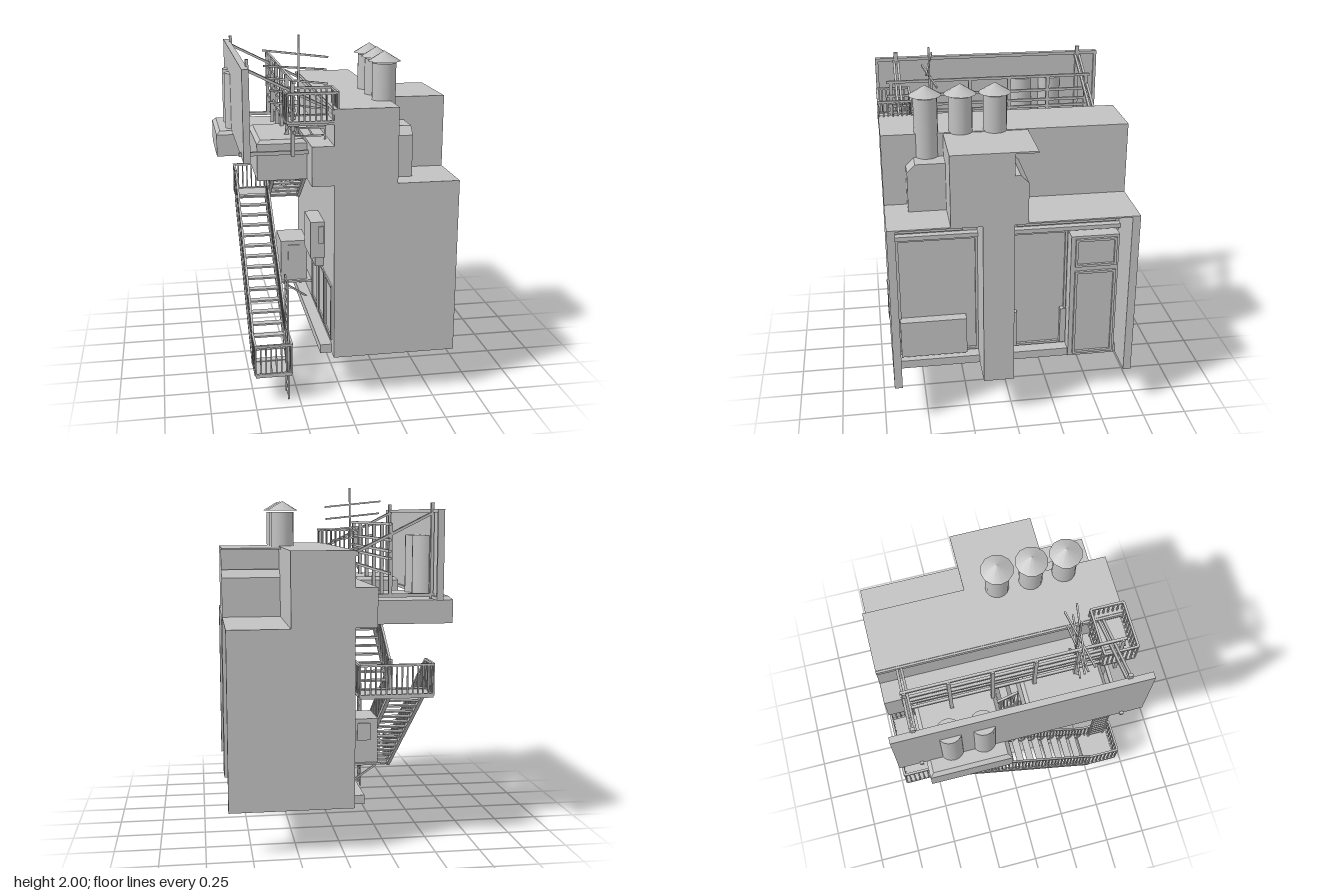
import * as THREE from 'three';

const grey = new THREE.MeshStandardMaterial({ color: 0xc2c2c2, side: THREE.DoubleSide });
grey.name = 'plain grey';

export function createModel() {
  const root = new THREE.Group();
  root.name = 'rooftopBuilding';
  const V = (x, y, z) => new THREE.Vector3(x, y, z);

  function part(name) {
    const g = new THREE.Group();
    g.name = name;
    root.add(g);
    return g;
  }
  function add(g, name, geo, x = 0, y = 0, z = 0) {
    const m = new THREE.Mesh(geo, grey);
    m.name = name;
    m.position.set(x, y, z);
    g.add(m);
    return m;
  }
  // Box given by its limits; skip lists face groups to leave open (2 = top, 3 = bottom)
  function box(g, name, x0, x1, y0, y1, z0, z1, skip = []) {
    const geo = new THREE.BoxGeometry(x1 - x0, y1 - y0, z1 - z0);
    if (skip.length) {
      const index = Array.from(geo.index.array);
      geo.setIndex(index.filter((_, i) => !skip.includes(Math.floor(i / 6))));
      geo.clearGroups();
    }
    return add(g, name, geo, (x0 + x1) / 2, (y0 + y1) / 2, (z0 + z1) / 2);
  }
  // Low hip: the top corners are drawn inwards
  function hip(g, name, x0, x1, y0, y1, z0, z1, inset) {
    const m = box(g, name, x0, x1, y0, y1, z0, z1);
    const p = m.geometry.attributes.position;
    for (let i = 0; i < p.count; i++) if (p.getY(i) > 0) {
      p.setX(i, p.getX(i) - Math.sign(p.getX(i)) * inset);
      p.setZ(i, p.getZ(i) - Math.sign(p.getZ(i)) * inset);
    }
    m.geometry = m.geometry.toNonIndexed();
    m.geometry.computeVertexNormals();
  }
  function bar(g, name, a, b, t = 0.012) {
    const m = add(g, name, new THREE.BoxGeometry(t, t, a.distanceTo(b)));
    m.position.copy(a).add(b).multiplyScalar(0.5);
    m.lookAt(b);
  }
  // Handrail with balusters between two floor points
  function railing(g, a, b, h, n) {
    const up = V(0, h, 0);
    bar(g, 'handrail', a.clone().add(up), b.clone().add(up), 0.013);
    bar(g, 'bottomRail', a, b, 0.013);
    for (let i = 0; i <= n; i++) {
      const p = a.clone().lerp(b, i / n);
      bar(g, 'baluster', p, p.clone().add(up), 0.008);
    }
  }
  // Rectangular frame on a wall facing x
  function frame(g, name, x, y0, y1, z0, z1, d = 0.015, w = 0.014) {
    box(g, name, x, x + d, y0, y0 + w, z0, z1);
    box(g, name, x, x + d, y1 - w, y1, z0, z1);
    box(g, name, x, x + d, y0, y1, z0, z0 + w);
    box(g, name, x, x + d, y0, y1, z1 - w, z1);
  }

  // Main tower, open underneath
  const tower = part('tower');
  box(tower, 'lowerWalls', -0.06, 0.36, 0.25, 1.24, -0.69, 0.69, [2, 3]);
  box(tower, 'upperWalls', -0.06, 0.285, 1.24, 1.65, -0.69, 0.69, [3]);
  box(tower, 'roofLip', -0.072, -0.05, 1.62, 1.645, -0.69, 0.69);
  box(tower, 'sideLedge', -0.18, -0.06, 1.24, 1.455, -0.69, 0.69);
  box(tower, 'kerb', -0.125, -0.06, 0.25, 0.3, -0.62, 0.62);

  // Shopfront side: deck, end walls, middle pier
  const wing = part('wing');
  box(wing, 'deck', 0.285, 0.627, 1.232, 1.24, -0.69, 0.69);
  box(wing, 'frontEndWall', 0.36, 0.627, 0.25, 1.24, 0.645, 0.69);
  box(wing, 'rearEndWall', 0.36, 0.627, 0.25, 1.24, -0.69, -0.645);
  box(wing, 'pier', 0.36, 0.627, 0.25, 1.24, 0.005, 0.178);
  box(wing, 'threshold', 0.36, 0.43, 0.25, 0.3, -0.645, 0.645);
  box(wing, 'roofRoom', 0.285, 0.627, 1.24, 1.645, 0.005, 0.35);
  box(wing, 'roofRoomCanopy', 0.285, 0.627, 1.635, 1.645, -0.12, 0.005);

  // Chamfered boxes leaning on the roof room
  function leanTo(name, x1, zIn, zOut) {
    const c = 0.045 * Math.sign(zOut - zIn);
    const s = new THREE.Shape([
      [zIn, 1.24], [zOut, 1.24], [zOut, 1.47], [zOut - c, 1.515], [zIn, 1.515],
    ].map(([z, y]) => new THREE.Vector2(-z, y)));
    const m = add(wing, name, new THREE.ExtrudeGeometry(s, { depth: x1 - 0.285, bevelEnabled: false }), 0.285);
    m.rotation.y = Math.PI / 2;
  }
  leanTo('flueBase', 0.395, 0.35, 0.56);
  leanTo('sideBox', 0.627, 0.005, -0.07);

  const shop = part('shopWindows');
  frame(shop, 'windowFrame', 0.36, 0.31, 1.06, 0.178, 0.64);
  frame(shop, 'windowFrame', 0.36, 0.31, 1.06, -0.345, 0);
  frame(shop, 'transomFrame', 0.36, 1.1, 1.235, 0.26, 0.64);
  frame(shop, 'transomFrame', 0.36, 1.1, 1.235, -0.625, -0.05);
  box(shop, 'lintel', 0.36, 0.4, 1.065, 1.09, -0.645, 0.645);
  box(shop, 'counter', 0.36, 0.42, 0.32, 0.55, 0.25, 0.635);
  box(shop, 'smallPanel', 0.36, 0.39, 0.32, 0.55, -0.05, -0.01);
  box(shop, 'smallPanel', 0.36, 0.39, 0.32, 0.55, -0.345, -0.31);
  box(shop, 'door', 0.36, 0.45, 0.26, 1.05, -0.63, -0.35);
  frame(shop, 'doorPanel', 0.45, 0.28, 0.83, -0.615, -0.375);
  frame(shop, 'doorPanel', 0.45, 0.86, 1.035, -0.615, -0.375);

  // Three capped chimneys
  const chimneys = part('chimneys');
  [0.44, 0.25, 0.06].forEach((z, i) => {
    const y0 = i === 0 ? 1.51 : 1.64;
    add(chimneys, 'flue', new THREE.CylinderGeometry(0.066, 0.066, 1.85 - y0, 16), 0.257, (1.85 + y0) / 2, z);
    add(chimneys, 'flueCap', new THREE.ConeGeometry(0.09, 0.055, 12), 0.257, 1.887, z);
  });

  // Projecting rooms and tanks
  const bays = part('projectingBays');
  box(bays, 'rearBay', -0.63, -0.18, 1.24, 1.37, -0.54, -0.08);
  hip(bays, 'rearBayRoof', -0.63, -0.18, 1.37, 1.39, -0.54, -0.08, 0.022);
  box(bays, 'frontBay', -0.45, -0.18, 1.24, 1.44, 0.06, 0.52);
  hip(bays, 'frontBayRoof', -0.45, -0.18, 1.44, 1.46, 0.06, 0.52, 0.02);
  for (const z of [-0.39, -0.21])
    add(bays, 'tank', new THREE.CylinderGeometry(0.068, 0.068, 0.33, 20), -0.5, 1.555, z);

  // Large blank board with struts back to the roof
  const board = part('board');
  box(board, 'panel', -0.535, -0.512, 1.38, 1.865, -0.69, 0.685);
  frame(board, 'panelEdge', -0.512, 1.38, 1.865, -0.69, 0.685, 0.013, 0.018);
  for (const z of [-0.565, 0.56]) {
    box(board, 'post', -0.507, -0.49, 1.38, 1.9, z - 0.012, z + 0.012);
    for (const d of [-0.012, 0.012])
      bar(board, 'strut', V(-0.5, 1.845, z + d), V(-0.07, 1.63, z + d), 0.014);
    bar(board, 'lowerStrut', V(-0.55, 1.4, z), V(-0.08, 1.4, z), 0.02);
  }

  // Slatted rack on the ledge
  const rack = part('roofRack');
  for (const y of [1.52, 1.6, 1.64, 1.7, 1.785])
    bar(rack, 'slat', V(-0.262, y, -0.59), V(-0.262, y, 0.63), 0.015);
  for (let i = 0; i < 6; i++) {
    const z = -0.57 + i * 0.235;
    bar(rack, 'rackPost', V(-0.268, 1.39, z), V(-0.268, 1.79, z), 0.02);
  }

  // Aerial
  const aerial = part('aerial');
  bar(aerial, 'mast', V(-0.21, 1.44, 0.38), V(-0.2, 2, 0.38), 0.01);
  [[1.9, 0.03], [1.825, -0.03], [1.755, 0.02], [1.69, -0.015], [1.62, 0.025]].forEach(([y, dz], i) => {
    const w = 0.175 - (i > 2 ? 0.03 : 0);
    bar(aerial, 'aerialArm', V(-0.22 - w, y + 0.018, 0.38 - dz), V(-0.22 + w, y - 0.018, 0.38 + dz), 0.01);
  });
  for (const dx of [-0.08, 0.08])
    bar(aerial, 'mastLeg', V(-0.206, 1.58, 0.38), V(-0.206 + dx, 1.45, 0.38), 0.01);

  // Landing: floor with railings on chosen sides
  function landing(name, x0, x1, y, z0, z1, h, sides) {
    const g = part(name);
    box(g, 'floor', x0, x1, y - 0.018, y, z0, z1);
    const c = { w: [x0, z0, x0, z1], e: [x1, z0, x1, z1], n: [x0, z0, x1, z0], s: [x0, z1, x1, z1] };
    for (const k of sides) {
      const [ax, az, bx, bz] = c[k];
      const n = Math.round(Math.hypot(bx - ax, bz - az) / 0.028);
      railing(g, V(ax, y, az), V(bx, y, bz), h, n);
    }
  }
  landing('upperLanding', -0.305, -0.04, 1.585, 0.5, 0.685, 0.15, 'wesn');
  landing('middleLanding', -0.49, -0.085, 0.87, -0.685, -0.5, 0.165, 'wen');
  landing('lowerLanding', -0.495, -0.295, 0.175, 0.5, 0.685, 0.17, 'wes');

  // Stair flights running along z
  function flight(name, x0, x1, ya, za, yb, zb, n) {
    const g = part(name);
    for (const x of [x0, x1]) {
      railing(g, V(x, ya, za), V(x, yb, zb), 0.165, n * 3);
      bar(g, 'stringer', V(x, ya - 0.012, za), V(x, yb - 0.012, zb), 0.022);
    }
    for (let i = 0; i <= n; i++) {
      const y = ya + (yb - ya) * i / n, z = za + (zb - za) * i / n;
      box(g, 'tread', x0, x1, y - 0.005, y + 0.005, z - 0.022, z + 0.022);
    }
  }
  flight('lowerFlight', -0.49, -0.295, 0.175, 0.5, 0.87, -0.5, 15);
  flight('upperFlight', -0.285, -0.085, 0.87, -0.5, 1.24, 0.04, 9);

  // Ladders: stiles at two points, rungs between
  function ladder(name, a, b, y0, y1, n) {
    const g = part(name);
    for (const p of [a, b]) bar(g, 'stile', V(p[0], y0, p[1]), V(p[0], y1, p[1]), 0.01);
    for (let i = 0; i < n; i++) {
      const y = y0 + (y1 - y0) * (i + 0.5) / n;
      bar(g, 'rung', V(a[0], y, a[1]), V(b[0], y, b[1]), 0.009);
    }
  }
  ladder('dropLadder', [-0.31, 0.555], [-0.31, 0.655], 0, 0.71, 15);
  ladder('roofLadder', [-0.25, 0.51], [-0.08, 0.51], 1.455, 1.585, 3);

  // Fittings on the stair side wall
  const fittings = part('wallFittings');
  box(fittings, 'largeUnit', -0.25, -0.085, 0.41, 0.67, -0.35, -0.12);
  box(fittings, 'unitPanel', -0.205, -0.13, 0.545, 0.645, -0.359, -0.111);
  box(fittings, 'unitShelf', -0.265, -0.06, 0.4, 0.412, -0.37, -0.1);
  for (const z of [-0.35, -0.12]) bar(fittings, 'shelfBrace', V(-0.25, 0.405, z), V(-0.08, 0.29, z), 0.01);
  box(fittings, 'smallUnit', -0.14, -0.06, 0.73, 0.945, 0.15, 0.38);
  box(fittings, 'smallUnitPanel', -0.095, -0.065, 0.82, 0.92, 0.141, 0.389);
  box(fittings, 'smallUnitFoot', -0.11, -0.06, 0.67, 0.73, 0.18, 0.35);
  for (const z of [-0.05, 0.2, 0.43]) frame(fittings, 'sideWindowFrame', -0.068, 0.33, 0.65, z, z + 0.2, 0.008);

  return root;
}
